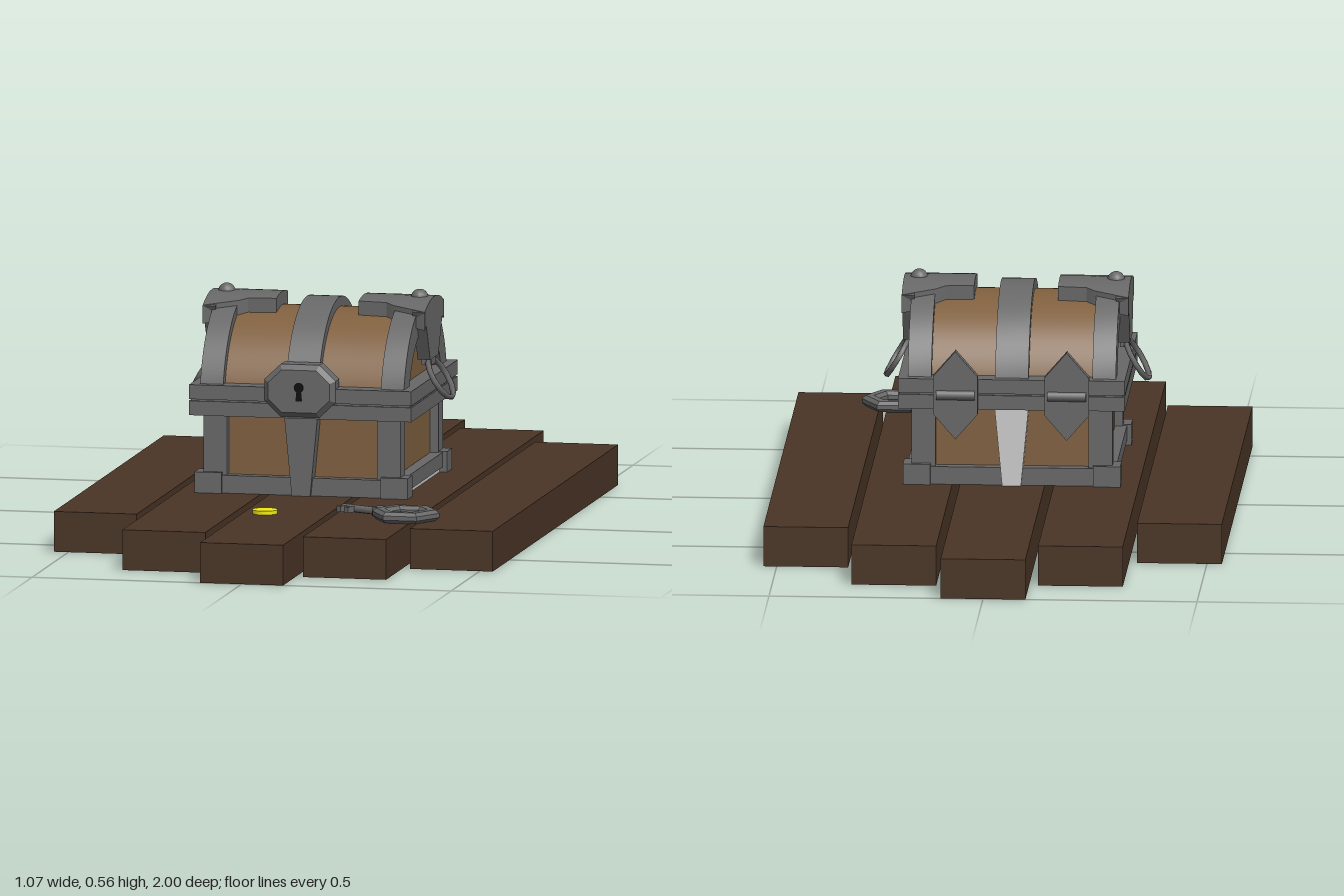
import * as THREE from 'three';
import { toCreasedNormals } from 'three/addons/utils/BufferGeometryUtils.js';

const mat = (color) => new THREE.MeshStandardMaterial({ color });
const plankWood = mat(0x4a3526), chestWood = mat(0x80603f), iron = mat(0x686868);
const paleIron = mat(0xcccccc), dark = mat(0x080808), gold = mat(0xf5ea10);
const deckTop = 0.095, lidY = 0.285;

function add(parent, name, geometry, material, x = 0, y = 0, z = 0) {
  const mesh = new THREE.Mesh(geometry, material);
  mesh.name = name;
  mesh.position.set(x, y, z);
  parent.add(mesh);
  return mesh;
}

// Box given by its minimum and maximum corners
function block(parent, name, material, x0, x1, y0, y1, z0, z1) {
  return add(parent, name, new THREE.BoxGeometry(x1 - x0, y1 - y0, z1 - z0), material,
    (x0 + x1) / 2, (y0 + y1) / 2, (z0 + z1) / 2);
}

const polygon = (points) => new THREE.Shape(points.map(([x, y]) => new THREE.Vector2(x, y)));

function extrude(shape, depth, bevel = 0) {
  return new THREE.ExtrudeGeometry(shape, {
    depth, curveSegments: 20, bevelEnabled: bevel > 0,
    bevelSize: bevel, bevelOffset: -bevel, bevelThickness: bevel, bevelSegments: 1,
  });
}

// Extrusion running along x, centred on x = 0, with its profile in the zy plane
function extrudeX(shape, width) {
  const g = extrude(shape, width).translate(0, 0, -width / 2).rotateY(Math.PI / 2);
  return toCreasedNormals(g, 0.5);
}

// Arched band over the lid; an inner radius of zero makes a solid lid
function archShape(outer, inner) {
  const s = new THREE.Shape(), a = 0.22;
  s.absarc(0, 0, outer, a, Math.PI - a, false);
  if (inner) s.absarc(0, 0, inner, Math.PI - a, a, true);
  s.closePath();
  return s;
}

// Curved plate on the lid crest, flaring towards the outer end
function crestPlate(side) {
  const g = new THREE.BoxGeometry(1, 1, 1, 3, 1, 8);
  const p = g.attributes.position;
  const xs = [0.098, 0.165, 0.185, 0.265], halves = [0.062, 0.066, 0.08, 0.105];
  for (let i = 0; i < p.count; i++) {
    const k = Math.round((p.getX(i) + 0.5) * 3);
    const station = side > 0 ? k : 3 - k;
    const z = p.getZ(i) * 2 * halves[station];
    const r = p.getY(i) > 0 ? 0.254 : 0.215;
    p.setXYZ(i, side * xs[station], Math.sqrt(r * r - z * z), z);
  }
  const flat = g.toNonIndexed();
  flat.computeVertexNormals();
  return toCreasedNormals(flat, 0.4);
}

function buildDeck() {
  const deck = new THREE.Group();
  deck.name = 'deck';
  const planks = [[-0.436, -0.61, 0.6], [-0.219, -0.855, 0.845], [0, -1, 1],
    [0.216, -0.87, 0.862], [0.432, -0.695, 0.685]];
  for (const [x, back, front] of planks)
    block(deck, 'plank', plankWood, x - 0.099, x + 0.099, 0, deckTop, back, front);
  return deck;
}

function buildBody(chest) {
  block(chest, 'bodyPanels', chestWood, -0.215, 0.215, 0.1, 0.3, -0.212, 0.212);
  for (const s of [-1, 1]) {
    // Base rails
    block(chest, 'baseRail', iron, -0.24, 0.24, deckTop, 0.137, s * 0.225 - 0.012, s * 0.225 + 0.012);
    block(chest, 'baseSideRail', iron, s * 0.23 - 0.014, s * 0.23 + 0.014, 0.107, 0.142, -0.22, 0.22);
    block(chest, 'baseSideSill', paleIron, s * 0.226 - 0.01, s * 0.226 + 0.01, deckTop, 0.107, -0.19, 0.19);
    for (const t of [-1, 1]) {
      // Corner posts and feet
      block(chest, 'cornerPost', iron, s * 0.207 - 0.028, s * 0.207 + 0.028, 0.12, 0.3,
        t * 0.207 - 0.025, t * 0.207 + 0.025);
      block(chest, 'cornerFoot', iron, s * 0.222 - 0.032, s * 0.222 + 0.032, deckTop, 0.144,
        t * 0.217 - 0.028, t * 0.217 + 0.028);
    }
    // Tapered strap below the rim
    const strap = polygon([[-0.022, deckTop], [0.022, deckTop], [0.04, 0.285], [-0.04, 0.285]]);
    add(chest, s > 0 ? 'frontStrap' : 'backStrap', extrude(strap, 0.05), s > 0 ? iron : paleIron,
      0, 0, s > 0 ? 0.197 : -0.247);
  }
  // Rims of body and lid meet at the seam
  block(chest, 'bodyRim', iron, -0.265, 0.265, 0.279, 0.313, -0.255, 0.255);
  block(chest, 'seam', iron, -0.261, 0.261, 0.313, 0.317, -0.251, 0.251);
  block(chest, 'lidRim', iron, -0.265, 0.265, 0.317, 0.351, -0.255, 0.255);
}

function buildLid(chest) {
  add(chest, 'lidPanels', extrudeX(archShape(0.222, 0), 0.45), chestWood, 0, lidY);
  add(chest, 'centreArch', extrudeX(archShape(0.245, 0.2), 0.078), iron, 0, lidY);
  for (const s of [-1, 1]) {
    add(chest, 'endArch', extrudeX(archShape(0.243, 0.183), 0.055), iron, s * 0.2155, lidY);
    add(chest, 'crestPlate', crestPlate(s), iron, 0, lidY);
    // End flap hanging from the crest plate
    const flap = polygon([[-0.045, 0.395], [0.045, 0.395], [0.092, 0.49], [0.105, 0.515],
      [0.06, 0.53], [0, 0.538], [-0.06, 0.53], [-0.105, 0.515], [-0.092, 0.49]]);
    add(chest, 'endFlap', extrudeX(flap, 0.03), iron, s * 0.25);
    const rivet = new THREE.SphereGeometry(0.021, 14, 6, 0, Math.PI * 2, 0, Math.PI / 2);
    add(chest, 'rivet', rivet, iron, s * 0.23, 0.534);
    // Ring handle swung outwards
    const ring = new THREE.TorusGeometry(0.064, 0.007, 6, 12).rotateY(Math.PI / 2)
      .scale(1, 0.82, 1).rotateZ(s * 0.54);
    add(chest, 'handle', ring, iron, s * 0.28, 0.347);
    block(chest, 'handleMount', iron, s * 0.252 - 0.012, s * 0.252 + 0.012, 0.38, 0.41, -0.025, 0.025);
  }
}

function buildFittings(chest) {
  // Lock plate and keyhole
  const plate = polygon([[0.085, -0.025], [0.085, 0.025], [0.046, 0.062], [-0.046, 0.062],
    [-0.085, 0.025], [-0.085, -0.025], [-0.046, -0.062], [0.046, -0.062]]);
  add(chest, 'lockPlate', extrude(plate, 0.04, 0.012), iron, 0, 0.345, 0.217);
  add(chest, 'keyhole', new THREE.CircleGeometry(0.012, 16), dark, 0, 0.354, 0.2705);
  const slot = polygon([[-0.008, 0.322], [0.008, 0.322], [0.005, 0.352], [-0.005, 0.352]]);
  add(chest, 'keyholeSlot', new THREE.ShapeGeometry(slot), dark, 0, 0, 0.2705);
  // Back hinges
  const leaf = polygon([[0, 0.21], [0.052, 0.27], [0.052, 0.36], [0, 0.42], [-0.052, 0.36], [-0.052, 0.27]]);
  for (const s of [-1, 1]) {
    add(chest, 'hingePlate', extrude(leaf, 0.022), iron, s * 0.13, 0, -0.268);
    const pin = new THREE.CylinderGeometry(0.012, 0.012, 0.09, 10).rotateZ(Math.PI / 2);
    add(chest, 'hingePin', pin, iron, s * 0.13, 0.315, -0.264);
  }
}

function buildKey() {
  const key = new THREE.Group();
  key.name = 'key';
  // Hexagonal bow
  const hexagon = (r) => Array.from({ length: 6 }, (_, i) =>
    [r * Math.cos(i * Math.PI / 3), r * Math.sin(i * Math.PI / 3)]);
  const bow = polygon(hexagon(0.08));
  bow.holes.push(new THREE.Path(hexagon(0.042).map(([x, y]) => new THREE.Vector2(x, y))));
  add(key, 'keyBow', extrude(bow, 0.01, 0.008).rotateX(-Math.PI / 2), iron, 0, 0.008, 0);
  // Shaft and bits
  const shaft = new THREE.Group();
  shaft.name = 'keyShaft';
  shaft.rotation.y = -0.47;
  const rod = new THREE.CylinderGeometry(0.009, 0.009, 0.12, 8).rotateZ(Math.PI / 2);
  add(shaft, 'keyRod', rod, iron, -0.127, 0.012, 0);
  block(shaft, 'keyCollar', iron, -0.09, -0.07, 0.002, 0.024, -0.014, 0.014);
  for (const x of [-0.178, -0.155])
    block(shaft, 'keyBit', iron, x - 0.006, x + 0.006, 0.005, 0.019, 0, 0.03);
  key.add(shaft);
  key.position.set(0.295, deckTop, 0.553);
  return key;
}

export function createModel() {
  const model = new THREE.Group();
  model.name = 'treasureChestScene';
  model.add(buildDeck());
  const chest = new THREE.Group();
  chest.name = 'chest';
  chest.position.x = -0.022;
  buildBody(chest);
  buildLid(chest);
  buildFittings(chest);
  model.add(chest, buildKey());
  add(model, 'coin', new THREE.CylinderGeometry(0.03, 0.03, 0.009, 16), gold, -0.048, deckTop + 0.0045, 0.522);
  return model;
}
